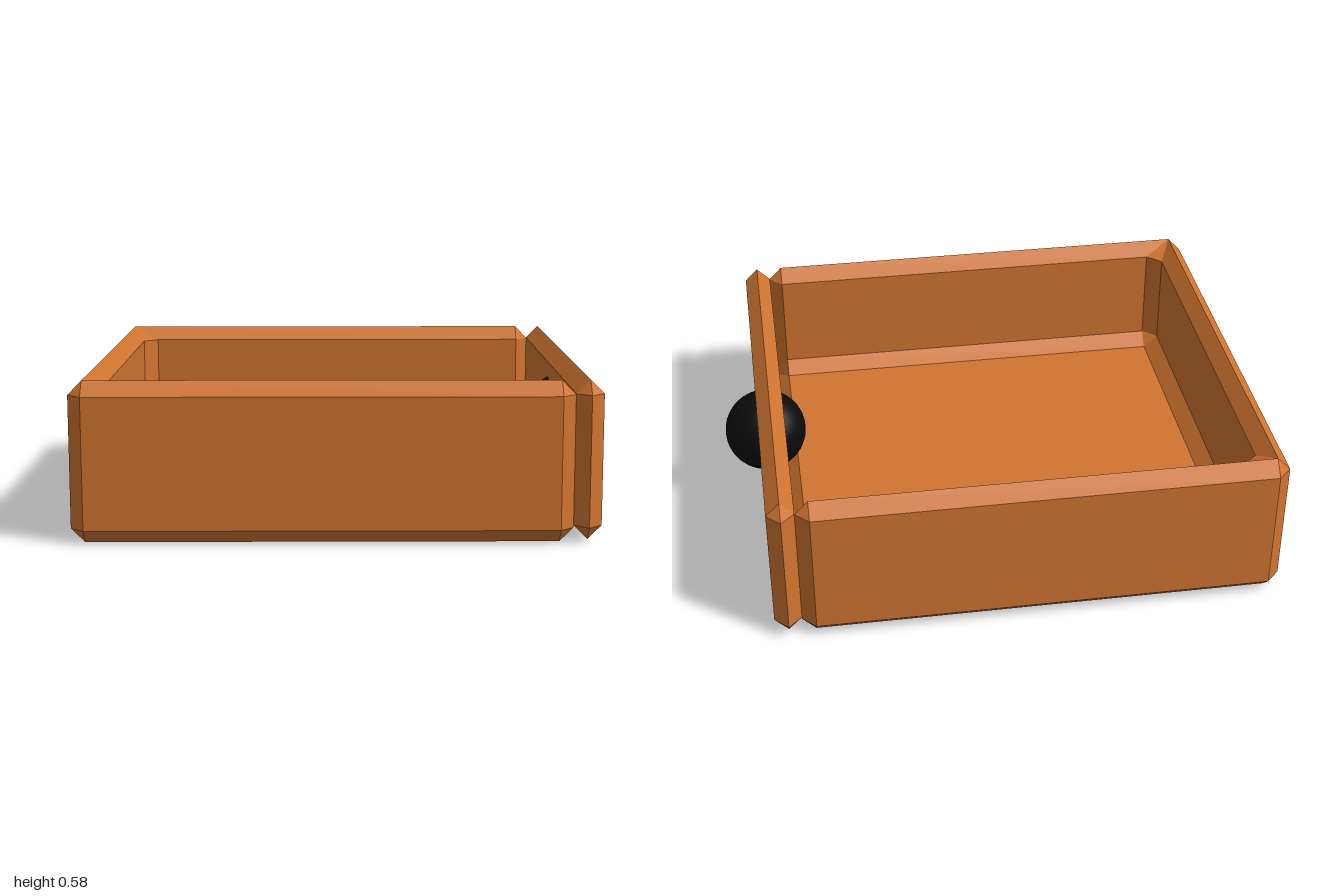
import * as THREE from 'three';
import { ConvexGeometry } from 'three/addons/geometries/ConvexGeometry.js';

const wood = new THREE.MeshStandardMaterial({ color: 0xd07430, flatShading: true });
const black = new THREE.MeshStandardMaterial({ color: 0x0b0b0b });

// Flat-shaded geometry from quads, dropping collapsed triangles
function fromQuads(quads) {
  const points = [];
  for (const [a, b, c, d] of quads) {
    for (const corners of [[a, b, c], [a, c, d]]) {
      const triangle = new THREE.Triangle(...corners);
      if (triangle.getArea() > 1e-7) points.push(...corners);
    }
  }
  const geometry = new THREE.BufferGeometry().setFromPoints(points);
  geometry.computeVertexNormals();
  return geometry;
}

// Tray with three walls: the bevelled wall section swept round a U, open at +x
function trayGeometry() {
  // Heights round the section: bottom, outer low, outer top, ridge, inner top, inner low, floor
  const y = [0, 0.05, 0.525, 0.577, 0.525, 0.15, 0.1];
  const tipY = [0.05, 0.05, 0.525, 0.525, 0.525, 0.05, 0.05];
  const sideZ = [0.82, 0.87, 0.87, 0.82, 0.77, 0.77, 0.72];
  const cornerX = [-0.95, -0.95, -0.95, -0.95, -0.845, -0.845, -0.845];
  const endX = [-0.95, -1, -1, -0.95, -0.9, -0.9, -0.845];
  const endZ = [0.82, 0.82, 0.82, 0.82, 0.72, 0.72, 0.72];
  const station = (place) => y.map((_, k) => new THREE.Vector3(...place(k)));

  const half = [
    station((k) => [0.775, tipY[k], 0.82]),
    station((k) => [0.725, y[k], sideZ[k]]),
    station((k) => [cornerX[k], y[k], sideZ[k]]),
    station((k) => [endX[k], y[k], endZ[k]]),
  ];
  const mirrored = half.map((s) => s.map((p) => new THREE.Vector3(p.x, p.y, -p.z))).reverse();
  const s = [...half, ...mirrored];

  const quads = [];
  for (let i = 0; i < s.length - 1; i++) {
    for (let k = 0; k < y.length - 1; k++) {
      quads.push([s[i][k], s[i][k + 1], s[i + 1][k + 1], s[i + 1][k]]);
    }
  }
  // Underside, floor and the bevelled open edge of the floor
  for (const [a, b, c, d] of [[0, 1, 6, 7], [1, 2, 5, 6]]) {
    quads.push([s[a][0], s[b][0], s[c][0], s[d][0]]);
    quads.push([s[d][6], s[c][6], s[b][6], s[a][6]]);
  }
  return fromQuads(quads);
}

// Front panel: a board whose bevels meet in a ridge round its rim
function panelGeometry() {
  const points = [];
  const bevel = 0.05, midX = 0.824, midY = 0.293, halfY = 0.235, halfZ = 0.82;
  for (const sy of [-1, 1]) {
    for (const sz of [-1, 1]) {
      const py = midY + sy * halfY, pz = sz * halfZ;
      points.push(
        new THREE.Vector3(midX - bevel, py, pz),
        new THREE.Vector3(midX + bevel, py, pz),
        new THREE.Vector3(midX, py + sy * bevel, pz),
        new THREE.Vector3(midX, py, pz + sz * bevel),
      );
    }
  }
  return new ConvexGeometry(points);
}

export function createModel() {
  const drawer = new THREE.Group();
  drawer.name = 'drawer';
  const add = (name, geometry, material) => {
    const mesh = new THREE.Mesh(geometry, material);
    mesh.name = name;
    drawer.add(mesh);
    return mesh;
  };

  add('tray', trayGeometry(), wood);
  add('frontPanel', panelGeometry(), wood);

  // Round knob, sunk through the panel
  add('knob', new THREE.SphereGeometry(0.155, 32, 20), black).position.set(0.845, 0.33, -0.005);

  return drawer;
}
